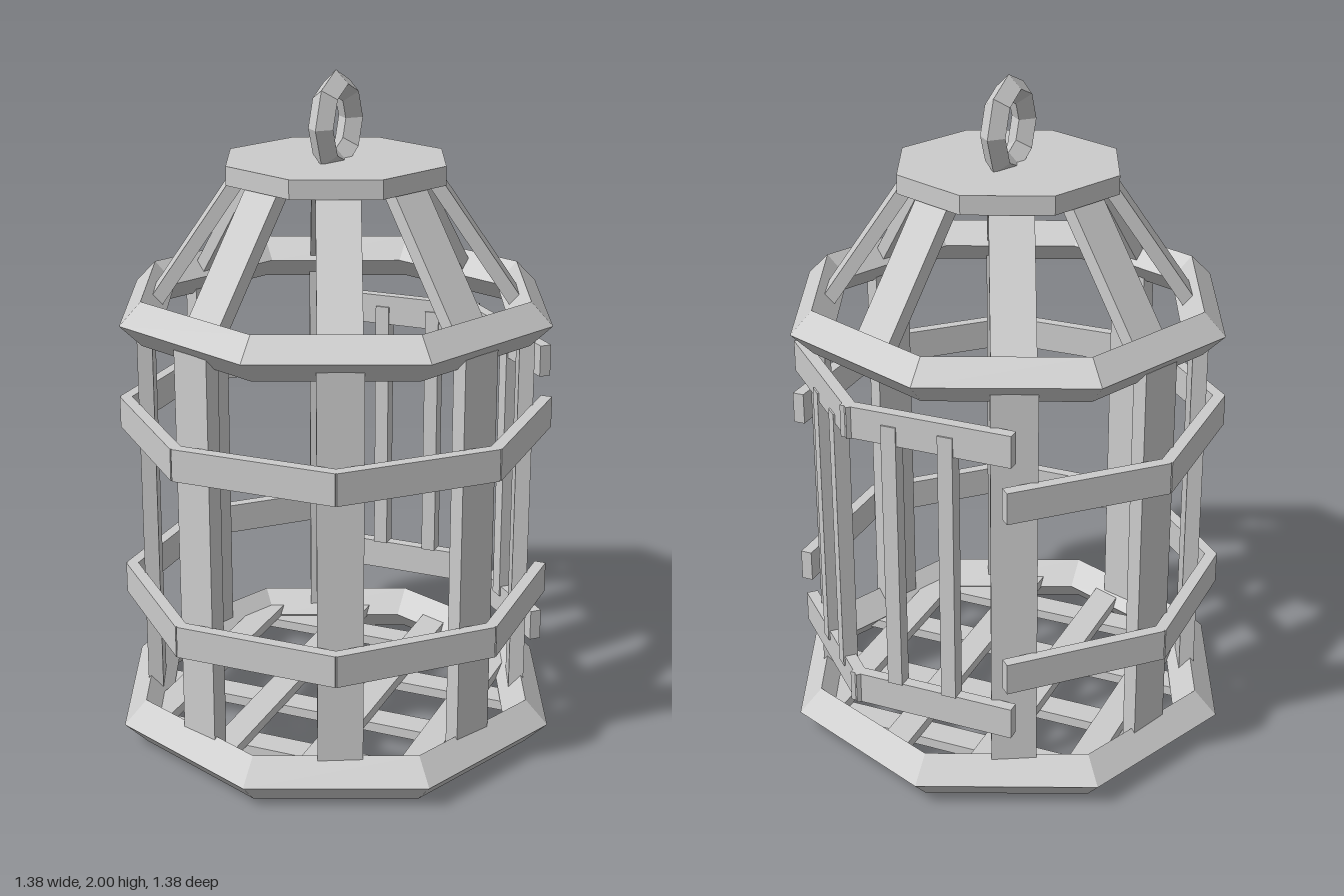
import * as THREE from 'three';

const material = new THREE.MeshStandardMaterial({ color: 0xcccccc, flatShading: true });
const rad = THREE.MathUtils.degToRad;

function add(parent, name, geometry, x = 0, y = 0, z = 0) {
  const mesh = new THREE.Mesh(geometry, material);
  mesh.name = name;
  mesh.position.set(x, y, z);
  parent.add(mesh);
  return mesh;
}

const box = (w, h, d) => new THREE.BoxGeometry(w, h, d);

// Group turned so its local +z points outward at the given angle from +x towards +z
function spoke(parent, name, degrees) {
  const group = new THREE.Group();
  group.name = name;
  group.rotation.y = Math.PI / 2 - rad(degrees);
  parent.add(group);
  return group;
}

// Eight-sided ring with a diamond section
function diamondRing(parent, name, radius, tube, y) {
  const ring = add(parent, name, new THREE.TorusGeometry(radius, tube, 4, 8), 0, y, 0);
  ring.rotation.x = Math.PI / 2;
  return ring;
}

export function createModel() {
  const cage = new THREE.Group();
  cage.name = 'birdcage';

  diamondRing(cage, 'baseRing', 0.62, 0.07, 0.07);
  diamondRing(cage, 'upperRing', 0.595, 0.065, 1.32);

  // Floor lattice: two crossed layers of slats
  for (const p of [-0.41, -0.14, 0.14, 0.41]) {
    const length = 2 * (0.62 - Math.abs(p) * 0.414);
    add(cage, 'floorSlatAcross', box(length, 0.03, 0.085), 0, 0.05, p);
    add(cage, 'floorSlatAlong', box(0.085, 0.03, length), p, 0.08, 0);
  }

  // Posts and roof rafters, slightly uneven; the door takes the place of one post
  const unevenness = [1.8, -1.2, -1.7, -1.2, -1.5, -2.1, -1.3, 1.3];
  const bottom = new THREE.Vector2(0.53, 1.33);
  const top = new THREE.Vector2(0.27, 1.71);
  unevenness.forEach((offset, i) => {
    const side = spoke(cage, 'cageSide', 22.5 + 45 * i + offset);
    if (i !== 6) add(side, 'post', box(0.13, 1.19, 0.045), 0, 0.695, 0.56);
    const rafter = add(side, 'rafter', box(0.125, bottom.distanceTo(top), 0.04),
      0, (bottom.y + top.y) / 2, (bottom.x + top.x) / 2);
    rafter.rotation.x = -Math.atan2(bottom.x - top.x, top.y - bottom.y);
  });

  // Two hoops of straight rails, open at the door
  for (let i = 0; i < 6; i++) {
    const side = spoke(cage, 'hoopSide', 45 * i);
    for (const y of [0.44, 0.98]) {
      add(side, 'hoopRail', box(0.49, 0.095, 0.035), 0, y, 0.58);
    }
  }

  // Folded door of two barred panels
  const door = new THREE.Group();
  door.name = 'door';
  cage.add(door);
  const panels = [
    { angle: 270, bars: [0.0625, -0.1075], y: 0.743 },
    { angle: 315, bars: [-0.03, 0.124], y: 0.713 },
  ];
  for (const { angle, bars, y } of panels) {
    const panel = spoke(door, 'doorPanel', angle);
    for (const railY of [0.285, 1.145]) {
      add(panel, 'doorRail', box(0.51, 0.095, 0.035), 0, railY, 0.565);
    }
    for (const x of bars) add(panel, 'doorBar', box(0.045, 0.825, 0.045), x, y, 0.565);
  }

  // Roof cap and hanging ring
  add(cage, 'roofCap', new THREE.CylinderGeometry(0.335, 0.335, 0.055, 8), 0, 1.7225, 0);
  const hanger = add(cage, 'hangingRing', new THREE.TorusGeometry(0.112, 0.038, 4, 8), 0, 1.85, 0);
  hanger.rotation.y = Math.PI / 2;

  return cage;
}
